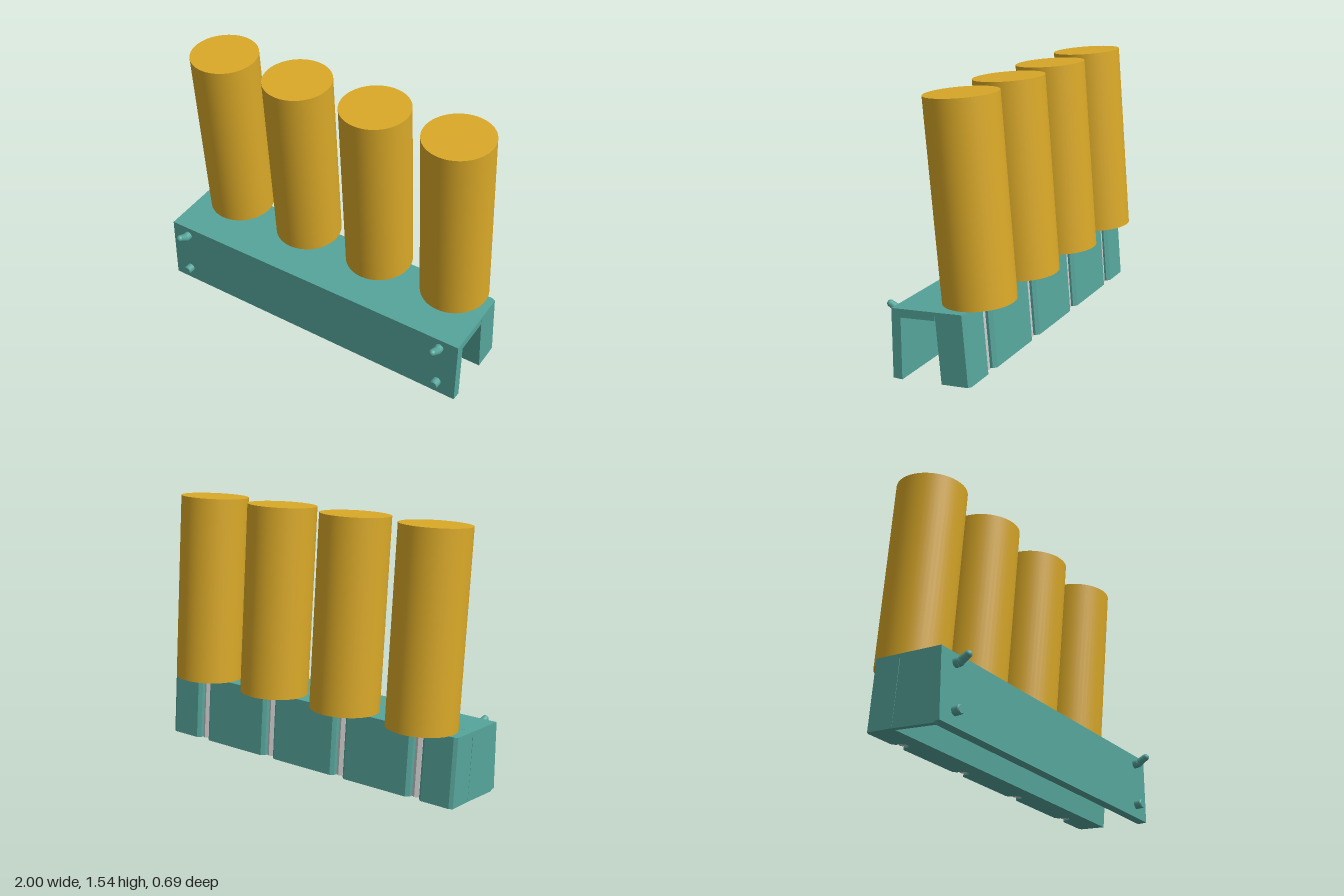
import * as THREE from 'three';

const TEAL = new THREE.MeshStandardMaterial({ color: 0x56a59b });
const GOLD = new THREE.MeshStandardMaterial({ color: 0xdaa928 });
const GREY = new THREE.MeshStandardMaterial({ color: 0xcccccc });

const TILT = THREE.MathUtils.degToRad(5);
const SLOTS = [-0.757, -0.252, 0.252, 0.757];
const BLOCK_HEIGHT = 0.393;
const BLOCK_DEPTH = 0.17;
const AXIS = 0.041; // distance of the tool axes from the back face

function addMesh(parent, name, geometry, material) {
  const mesh = new THREE.Mesh(geometry, material);
  mesh.name = name;
  parent.add(mesh);
  return mesh;
}

// Extrudes a (z, y) side profile from xRight towards -x
function sideExtrude(points, xRight, length) {
  const shape = new THREE.Shape(points.map(([z, y]) => new THREE.Vector2(z, y)));
  return new THREE.ExtrudeGeometry(shape, { depth: length, bevelEnabled: false })
    .rotateY(-Math.PI / 2)
    .translate(xRight, 0, 0);
}

// Plan of the rear block: flared, round-ended slots open to the back
function rearBlockGeometry() {
  const s = new THREE.Shape();
  const r = 0.03, mouth = 0.05, flare = 0.018;
  s.moveTo(-1, -BLOCK_DEPTH);
  s.lineTo(-1, -0.012);
  s.lineTo(-0.98, 0);
  for (const x of SLOTS) {
    s.lineTo(x - mouth, 0);
    s.lineTo(x - r, -flare);
    s.lineTo(x - r, -AXIS);
    s.absarc(x, -AXIS, r, Math.PI, 2 * Math.PI, false);
    s.lineTo(x + r, -flare);
    s.lineTo(x + mouth, 0);
  }
  s.lineTo(0.98, 0);
  s.lineTo(1, -0.012);
  s.lineTo(1, -BLOCK_DEPTH);
  s.closePath();
  return new THREE.ExtrudeGeometry(s, { depth: BLOCK_HEIGHT, bevelEnabled: false, curveSegments: 12 })
    .rotateX(-Math.PI / 2);
}

// Cylinder between two points in the x = 0 plane, given as [y, z]
function rod(a, b, radiusA, radiusB) {
  const from = new THREE.Vector3(0, ...a);
  const dir = new THREE.Vector3(0, ...b).sub(from);
  const length = dir.length();
  const q = new THREE.Quaternion().setFromUnitVectors(new THREE.Vector3(0, 1, 0), dir.normalize());
  return new THREE.CylinderGeometry(radiusB, radiusA, length, 20)
    .translate(0, length / 2, 0)
    .applyQuaternion(q)
    .translate(from.x, from.y, from.z);
}

export function createModel() {
  const model = new THREE.Group();
  model.name = 'toolRack';

  // Vertical mounting plate and sloping top shelf
  addMesh(model, 'plateAndShelf', sideExtrude([
    [0.245, 0.008], [0.245, 0.4], [-0.017, 0.422],
    [-0.017, 0.375], [0.19, 0.356], [0.19, 0.008],
  ], 1, 2), TEAL);

  // Closed end of the hollow
  addMesh(model, 'endWall', sideExtrude([
    [0.19, 0.356], [0.19, 0.008], [0.22, 0.008], [0.21, 0], [-0.05, 0.03], [-0.017, 0.375],
  ], -0.97, 0.03), TEAL);

  // Leaning rear block with the tools seated in it
  const leaning = new THREE.Group();
  leaning.name = 'leaningPart';
  leaning.position.set(0, 0.045, -0.22);
  leaning.rotation.x = TILT;
  model.add(leaning);
  addMesh(leaning, 'rearBlock', rearBlockGeometry(), TEAL);

  for (const x of SLOTS) {
    const tool = new THREE.Group();
    tool.name = 'tool';
    tool.position.set(x, 0, AXIS);
    leaning.add(tool);
    addMesh(tool, 'handle', new THREE.CylinderGeometry(0.198, 0.198, 1.09, 48), GOLD)
      .position.y = BLOCK_HEIGHT + 0.545;
    // Hexagonal shaft
    addMesh(tool, 'shaft', new THREE.CylinderGeometry(0.025, 0.025, BLOCK_HEIGHT - 0.005, 6).toNonIndexed(),
      GREY).position.y = BLOCK_HEIGHT / 2 + 0.0025;
    tool.children[1].geometry.computeVertexNormals();
  }

  // Bent hooks above, straight pegs below
  for (const x of [-0.886, 0.886]) {
    const hook = new THREE.Group();
    hook.name = 'hook';
    hook.position.x = x;
    model.add(hook);
    addMesh(hook, 'hookBase', rod([0.345, 0.235], [0.345, 0.272], 0.026, 0.026), TEAL);
    addMesh(hook, 'hookElbow', new THREE.SphereGeometry(0.025, 20, 12), TEAL)
      .position.set(0, 0.345, 0.272);
    addMesh(hook, 'hookArm', rod([0.345, 0.272], [0.372, 0.322], 0.024, 0.02), TEAL);
    addMesh(hook, 'hookTip', new THREE.SphereGeometry(0.02, 20, 12), TEAL)
      .position.set(0, 0.372, 0.324);

    const peg = new THREE.Group();
    peg.name = 'peg';
    peg.position.x = x;
    model.add(peg);
    addMesh(peg, 'pegShaft', rod([0.09, 0.235], [0.09, 0.282], 0.026, 0.026), TEAL);
    addMesh(peg, 'pegTip', rod([0.09, 0.282], [0.09, 0.288], 0.026, 0.021), TEAL);
  }

  return model;
}
